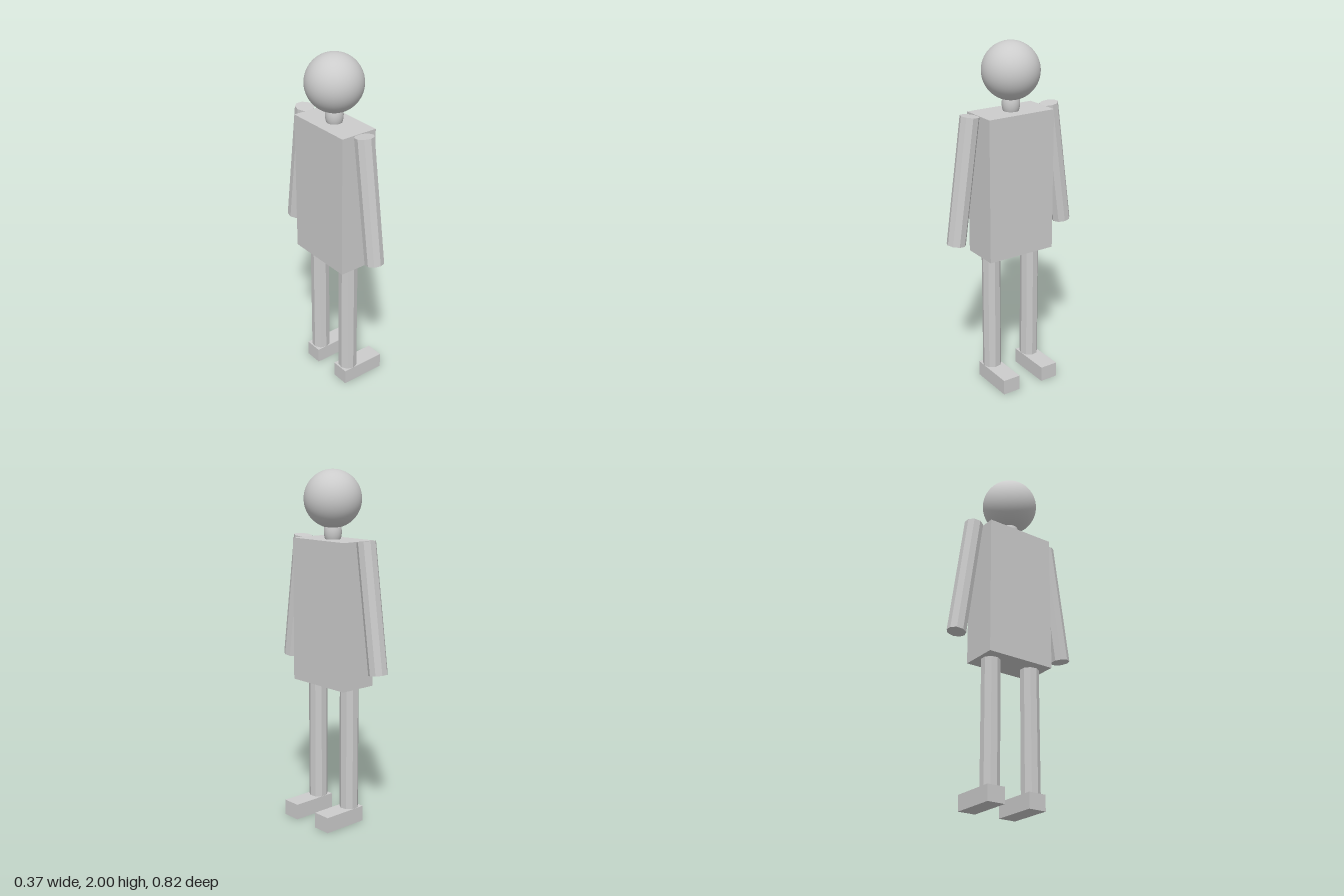
import * as THREE from 'three';

export function createModel() {
  const model = new THREE.Group();
  const smooth = new THREE.MeshStandardMaterial({ color: 0xcccccc });
  const flat = new THREE.MeshStandardMaterial({ color: 0xcccccc, flatShading: true });

  function add(name, geometry, material, x, y, z) {
    const mesh = new THREE.Mesh(geometry, material);
    mesh.name = name;
    mesh.position.set(x, y, z);
    model.add(mesh);
    return mesh;
  }

  // Nine-sided limb
  const limb = (length) => new THREE.CylinderGeometry(0.054, 0.054, length, 9);

  // Head, barrel-shaped neck and box torso
  add('head', new THREE.SphereGeometry(0.16, 64, 48), smooth, -0.024, 1.84, 0);
  const neck = add('neck', new THREE.SphereGeometry(0.05, 32, 24), smooth, -0.024, 1.66, 0);
  neck.scale.y = 1.6;
  add('torso', new THREE.BoxGeometry(0.222, 0.816, 0.418), flat, -0.024, 1.212, 0);

  // Limbs on both sides; the feet point along +x
  for (const side of [1, -1]) {
    const label = side > 0 ? 'front' : 'rear';
    const arm = add(label + 'Arm', limb(0.72), flat, -0.03, 1.268, side * 0.308);
    arm.rotation.x = -side * 0.14; // hands swing outward
    add(label + 'Leg', limb(0.72), flat, -0.03, 0.448, side * 0.132);
    add(label + 'Foot', new THREE.BoxGeometry(0.271, 0.09, 0.107), flat, 0.046, 0.045, side * 0.132);
  }
  return model;
}
